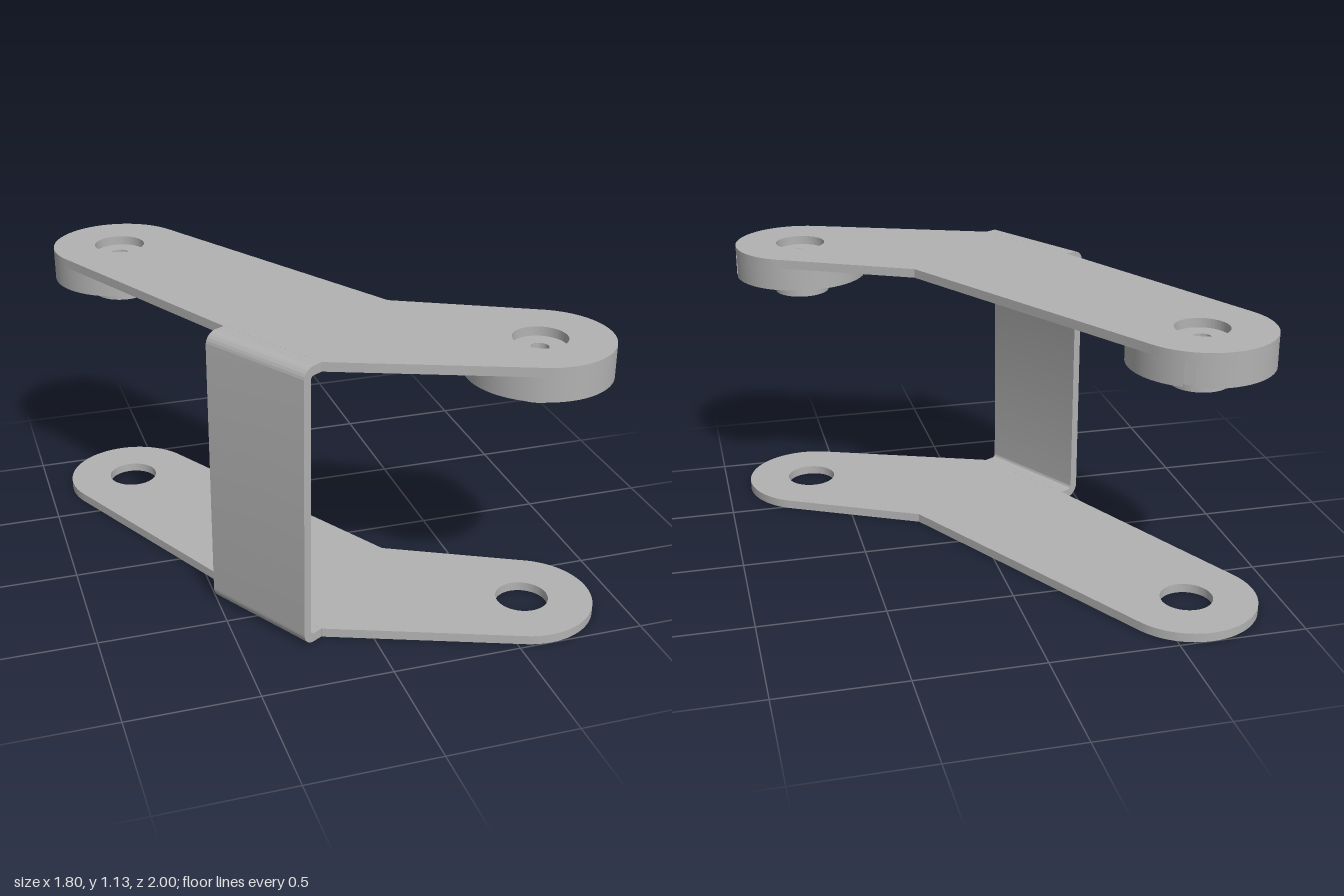
import * as THREE from 'three';
import { toCreasedNormals } from 'three/addons/utils/BufferGeometryUtils.js';

const H = 1.13, T = 0.036;          // overall height, sheet thickness
const R = 0.273;                    // radius of arm ends and discs
const PIVOT = { x: 0.627, z: 0.727 }; // front pivot; the back one is opposite
const rad = THREE.MathUtils.degToRad;

function circleHole(shape, x, y, r) {
  const hole = new THREE.Path();
  hole.absarc(x, y, r, 0, Math.PI * 2, true);
  shape.holes.push(hole);
}

function extrude(shape, depth) {
  const geo = new THREE.ExtrudeGeometry(shape, { depth, bevelEnabled: false, curveSegments: 48 });
  return toCreasedNormals(geo, 0.5);
}

// Extrude a plan outline (shape y = -z) upwards
function slab(shape, depth) {
  return extrude(shape, depth).rotateX(-Math.PI / 2);
}

// Bent arm outline with rounded ends and two pivot holes
function plateShape() {
  const s = new THREE.Shape();
  s.absarc(-PIVOT.x, PIVOT.z, R, rad(30), rad(206.3), false);
  s.lineTo(-0.43, -0.289);
  s.lineTo(-0.186, -0.708);
  s.absarc(PIVOT.x, -PIVOT.z, R, rad(-110.5), rad(64), false);
  s.lineTo(0.23, -0.22);
  s.closePath();
  circleHole(s, PIVOT.x, -PIVOT.z, 0.102);
  circleHole(s, -PIVOT.x, PIVOT.z, 0.102);
  return s;
}

// Channel section: upright web with rounded bends into both plates
function channelShape() {
  const w = 0.092, ro = 0.05, ri = ro - T;
  const s = new THREE.Shape();
  s.moveTo(w, 0);
  s.lineTo(w, T);
  s.absarc(ro, ro, ri, rad(270), rad(180), true);
  s.absarc(ro, H - ro, ri, rad(180), rad(90), true);
  s.lineTo(w, H - T);
  s.lineTo(w, H);
  s.absarc(ro, H - ro, ro, rad(90), rad(180), false);
  s.absarc(ro, ro, ro, rad(180), rad(270), false);
  s.closePath();
  return s;
}

// Disc with a small rim slot, centre bore and four mounting holes
function discShape() {
  const s = new THREE.Shape();
  const half = 0.022, a = Math.asin(half / R);
  s.absarc(0, 0, R, a, Math.PI * 2 - a, false);
  s.lineTo(R - 0.025, -half);
  s.lineTo(R - 0.025, half);
  s.closePath();
  circleHole(s, 0, 0, 0.034);
  for (let i = 0; i < 4; i++) {
    const t = i * Math.PI / 2;
    circleHole(s, 0.2 * Math.cos(t), 0.2 * Math.sin(t), 0.025);
  }
  return s;
}

function bossShape() {
  const s = new THREE.Shape();
  s.absarc(0, 0, 0.112, 0, Math.PI * 2, false);
  circleHole(s, 0, 0, 0.034);
  return s;
}

export function createModel() {
  const model = new THREE.Group();
  model.name = 'bracket';
  const grey = new THREE.MeshStandardMaterial({ color: 0xb2b2b2 });
  grey.name = 'metalGrey';

  const add = (parent, name, geo, y = 0) => {
    const mesh = new THREE.Mesh(geo, grey);
    mesh.name = name;
    mesh.position.y = y;
    parent.add(mesh);
    return mesh;
  };

  // Two matching plates
  const plate = slab(plateShape(), T);
  add(model, 'bottomPlate', plate);
  add(model, 'topPlate', plate, H - T);

  // Web joining the plates
  const web = add(model, 'connectingWeb', extrude(channelShape(), 0.485));
  web.position.set(-0.51, 0, 0.335);
  web.rotation.y = rad(30.2);

  // Pivot discs with bosses under the top plate
  const disc = slab(discShape(), H - T - 1.0);
  const boss = slab(bossShape(), 0.077);
  for (const [name, side, turn] of [['frontPivot', 1, 0], ['backPivot', -1, 60]]) {
    const pivot = new THREE.Group();
    pivot.name = name;
    pivot.position.set(side * PIVOT.x, 0, side * PIVOT.z);
    pivot.rotation.y = rad(turn);
    add(pivot, 'pivotDisc', disc, 1.0);
    add(pivot, 'pivotBoss', boss, 0.923);
    model.add(pivot);
  }
  return model;
}
